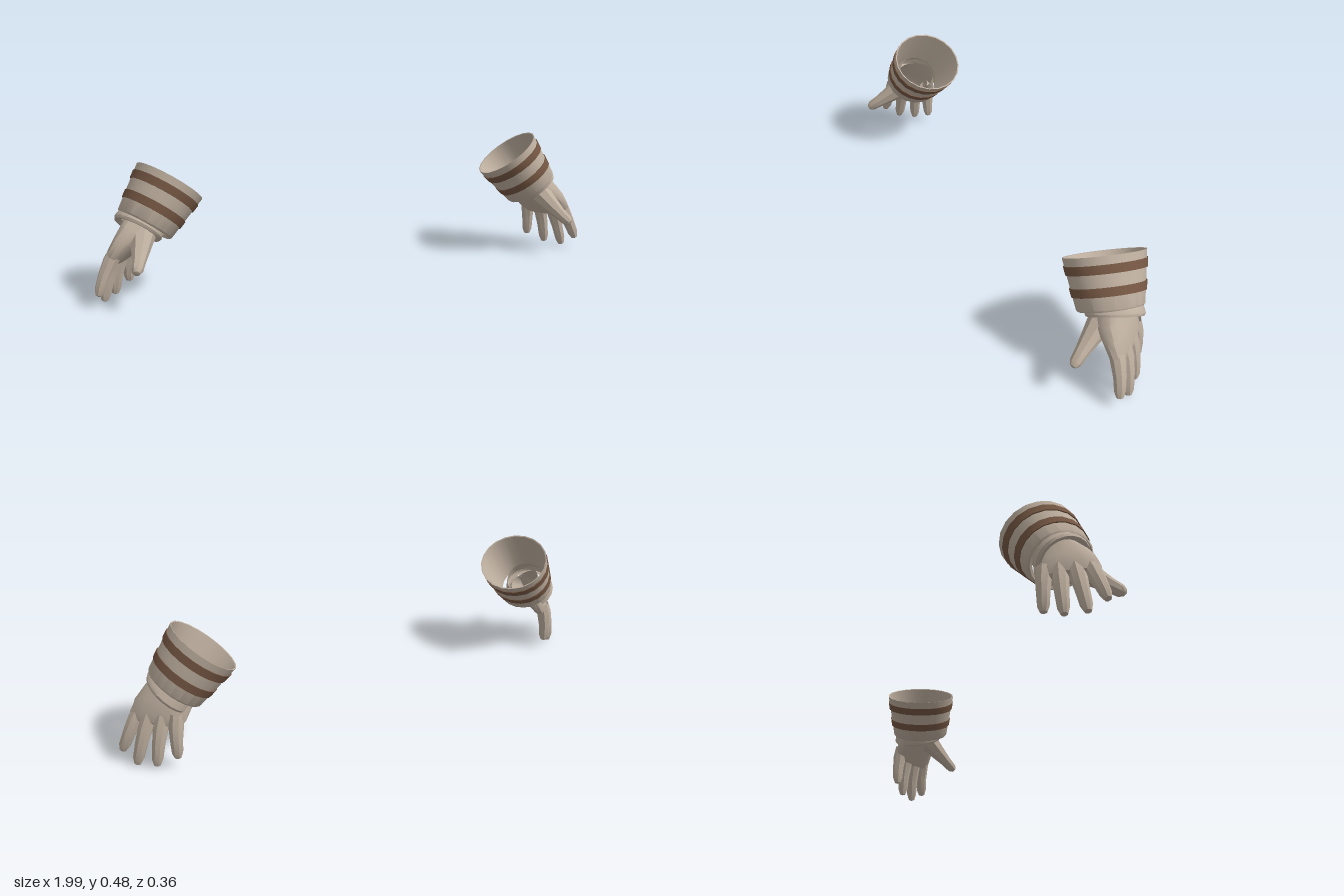
import * as THREE from 'three';
import { toCreasedNormals } from 'three/addons/utils/BufferGeometryUtils.js';

const V = (x, y, z) => new THREE.Vector3(x, y, z);

const cloth = new THREE.MeshStandardMaterial({ name: 'tan cloth', color: 0xbdae9e, side: THREE.DoubleSide });
const leather = new THREE.MeshStandardMaterial({ name: 'brown leather', color: 0x755743, side: THREE.DoubleSide });

// Hand frame: across the knuckles, along the fingers, out of the back of the hand
const across = V(0.6, 0, 0.8);
const along = V(0.57, -0.8, -0.05).normalize();
const back = across.clone().cross(along).normalize();

function part(name, geometry, material) {
  const mesh = new THREE.Mesh(toCreasedNormals(geometry, 0.65), material);
  mesh.name = name;
  return mesh;
}

// Skin rings of { c, u, v } (centre and half axes), closing the far end at tip
function loft(rings, sides, power, tip) {
  const pos = [], index = [];
  const bulge = (k) => Math.sign(k) * Math.abs(k) ** power;
  for (const { c, u, v } of rings) {
    for (let j = 0; j < sides; j++) {
      const a = (j / sides) * Math.PI * 2;
      const p = c.clone().addScaledVector(u, bulge(Math.cos(a))).addScaledVector(v, bulge(Math.sin(a)));
      pos.push(p.x, p.y, p.z);
    }
  }
  pos.push(tip.x, tip.y, tip.z);
  const end = rings.length * sides;
  for (let i = 0; i < rings.length; i++) {
    for (let j = 0; j < sides; j++) {
      const k = (j + 1) % sides, a = i * sides + j, b = i * sides + k;
      if (i === rings.length - 1) index.push(a, b, end);
      else index.push(a, b, a + sides, b, b + sides, a + sides);
    }
  }
  const g = new THREE.BufferGeometry();
  g.setAttribute('position', new THREE.Float32BufferAttribute(pos, 3));
  g.setIndex(index);
  g.computeVertexNormals();
  return g;
}

// Tapered digit through points with one radius each
function digit(name, points, radii) {
  const rings = points.map((c, i) => {
    const t = points[Math.min(i + 1, points.length - 1)].clone().sub(points[Math.max(i - 1, 0)]).normalize();
    const u = back.clone().cross(t).normalize();
    const v = t.clone().cross(u);
    return { c, u: u.multiplyScalar(radii[i]), v: v.multiplyScalar(radii[i]) };
  });
  const last = points[points.length - 1];
  const tip = last.clone().add(last.clone().sub(points[points.length - 2]).setLength(0.004));
  return part(name, loft(rings, 8, 1, tip), cloth);
}

// Revolved profile [radius, distance] about an axis, slightly flattened
function revolve(name, profile, centre, axis, material, flat = 0.9) {
  const g = new THREE.LatheGeometry(profile.map(([r, h]) => new THREE.Vector2(r, h)), 20);
  const y = axis.clone().normalize();
  const z = V(0, 0, 1).addScaledVector(y, -y.z).normalize();
  const x = y.clone().cross(z);
  g.scale(flat, 1, 1);
  g.applyMatrix4(new THREE.Matrix4().makeBasis(x, y, z).setPosition(centre));
  return part(name, g, material);
}

function createGlove(name) {
  const glove = new THREE.Group();
  glove.name = name;

  // Wide open cuff, turned inward at the wrist end
  const rim = V(0.696, 0.408, -0.037), axis = V(0.101, -0.138, 0.03);
  const length = 0.175;
  const radius = (t) => 0.144 - 0.027 * t;
  glove.add(revolve('cuff', [
    [0.139, 0.001], [radius(0), 0], [radius(0.5), length * 0.5], [radius(1), length],
    [0.111, length + 0.006], [0.1, length - 0.002], [0.106, length - 0.03], [0.139, 0.001],
  ], rim, axis, cloth));

  // Two raised bands
  for (const [t0, t1] of [[0.16, 0.33], [0.58, 0.75]]) {
    const r0 = radius(t0), r1 = radius(t1), h0 = t0 * length, h1 = t1 * length;
    glove.add(revolve('cuffBand', [
      [r0 - 0.002, h0], [r0 + 0.004, h0], [r1 + 0.004, h1], [r1 - 0.002, h1],
    ], rim, axis, leather));
  }

  // Rolled glove hem below the cuff, tilted more than the cuff
  glove.add(revolve('gloveHem', [
    [0.086, -0.06], [0.094, -0.03], [0.1, -0.01], [0.103, 0.004], [0.098, 0.013], [0.086, 0.012], [0.078, 0],
  ], V(0.82, 0.26, -0.01), V(0.57, -0.75, 0.28), cloth, 0.88));

  // Palm from wrist to knuckles: centre, half width, half thickness
  const palm = [
    [V(0.785, 0.3, -0.015), 0.078, 0.06],
    [V(0.812, 0.265, -0.008), 0.094, 0.055],
    [V(0.845, 0.225, -0.012), 0.104, 0.045],
    [V(0.874, 0.182, -0.018), 0.106, 0.036],
    [V(0.887, 0.157, -0.02), 0.096, 0.025],
  ].map(([c, w, t]) => ({
    c, u: across.clone().multiplyScalar(w), v: back.clone().multiplyScalar(-t),
  }));
  glove.add(part('palm', loft(palm, 16, 0.85, V(0.891, 0.15, -0.02)), cloth));

  // Four fingers, gently curled
  const fingers = [
    ['indexFinger', V(0.905, 0.205, 0.04), V(0.983, 0.046, 0.059)],
    ['middleFinger', V(0.893, 0.195, 0), V(0.955, 0.009, 0.005)],
    ['ringFinger', V(0.865, 0.195, -0.042), V(0.906, 0.014, -0.05)],
    ['littleFinger', V(0.832, 0.205, -0.08), V(0.845, 0.044, -0.091)],
  ];
  for (const [label, base, tip] of fingers) {
    const points = [0, 0.3, 0.6, 0.88, 1].map((t) =>
      base.clone().lerp(tip, t).addScaledVector(back, 0.008 * Math.sin(t * Math.PI)));
    glove.add(digit(label, points, [0.026, 0.027, 0.023, 0.02, 0.012]));
  }

  // Thumb, thick at the root
  glove.add(digit('thumb', [
    V(0.815, 0.245, 0.035), V(0.835, 0.208, 0.085), V(0.853, 0.176, 0.13),
    V(0.868, 0.152, 0.164), V(0.873, 0.145, 0.176),
  ], [0.046, 0.035, 0.025, 0.021, 0.012]));

  return glove;
}

export function createModel() {
  const model = new THREE.Group();
  model.name = 'gloves';
  const left = createGlove('leftGlove');
  const right = createGlove('rightGlove');
  right.scale.x = -1;
  model.add(left, right);
  return model;
}
